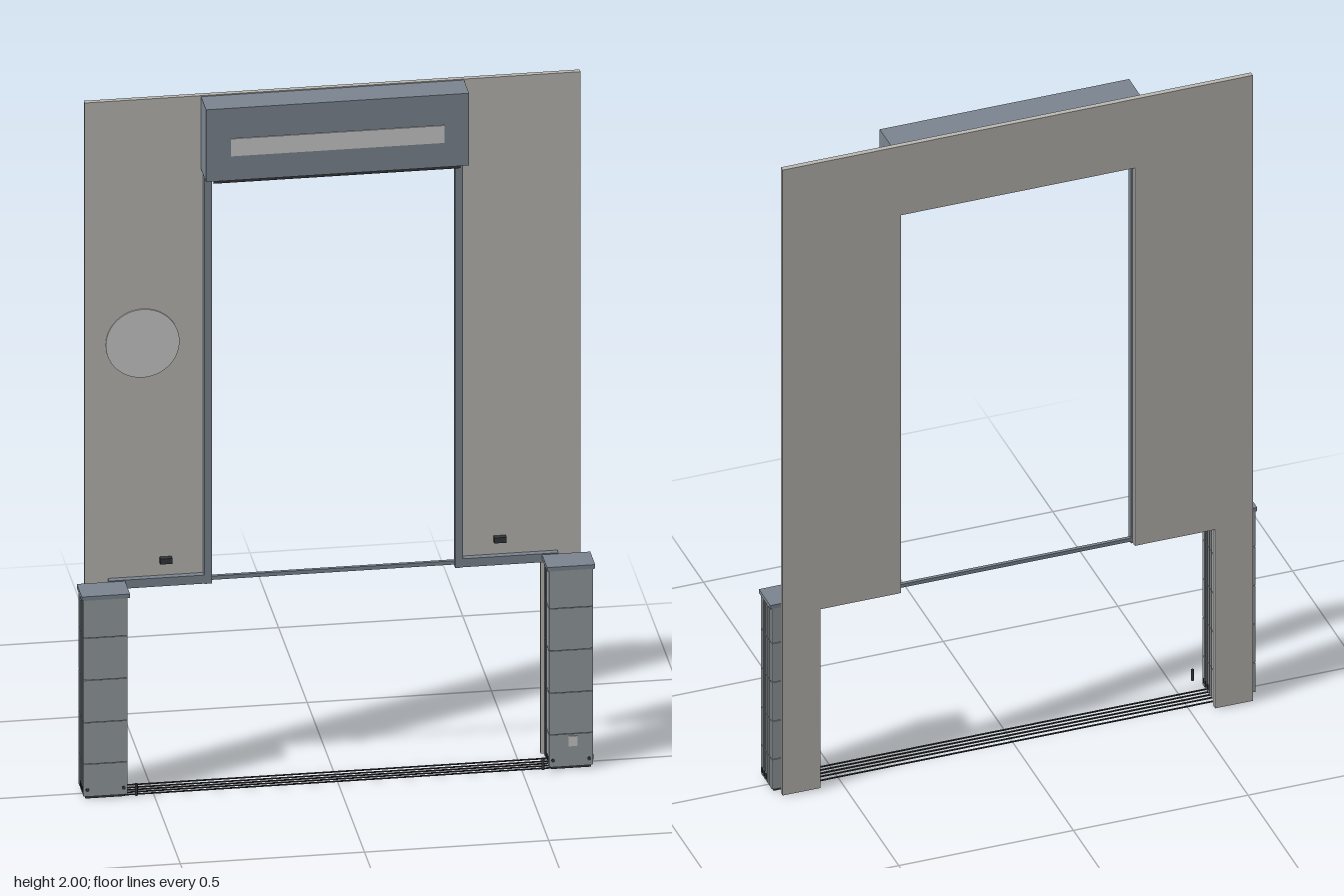
import * as THREE from 'three';

const mat = (color) => new THREE.MeshStandardMaterial({ color });

export function createModel() {
  const model = new THREE.Group();
  const steel = mat(0x7c8690), post = mat(0x949b9f), wall = mat(0xb9b8b3);
  const pale = mat(0xcccccc), dark = mat(0x33363a);

  const add = (name, geometry, material) => {
    const mesh = new THREE.Mesh(geometry, material);
    mesh.name = name;
    model.add(mesh);
    return mesh;
  };
  // Box given by its limits on each axis
  const box = (name, [x0, x1], [y0, y1], [z0, z1], material) =>
    add(name, new THREE.BoxGeometry(Math.abs(x1 - x0), y1 - y0, z1 - z0), material)
      .position.set((x0 + x1) / 2, (y0 + y1) / 2, (z0 + z1) / 2);
  const disc = (name, r, depth, [x, y, z], material, segments = 16) =>
    add(name, new THREE.CylinderGeometry(r, r, depth, segments).rotateX(Math.PI / 2), material)
      .position.set(x, y, z);

  // Wall panel: door opening above, wider opening between the legs
  const outline = [[-0.673, 0.005], [-0.565, 0.005], [-0.565, 0.575], [-0.335, 0.575], [-0.335, 1.78]];
  const points = [...outline, ...outline.map(([x, y]) => [-x, y]).reverse(), [0.673, 2], [-0.673, 2]];
  const panelShape = new THREE.Shape(points.map(([x, y]) => new THREE.Vector2(x, y)));
  const panel = add('wallPanel', new THREE.ExtrudeGeometry(panelShape, { depth: 0.015, bevelEnabled: false }), wall);
  panel.position.z = -0.073;

  // Header box with light strip and underside ribs
  box('header', [-0.357, 0.357], [1.785, 1.997], [-0.058, 0.03], steel);
  box('headerStrip', [-0.29, 0.29], [1.857, 1.908], [0.03, 0.033], pale);
  for (let i = 0; i < 5; i++) {
    const z = -0.035 + i * 0.0135;
    box('headerRib', [-0.335, 0.335], [1.775, 1.785], [z - 0.003, z + 0.003], dark);
  }

  // Round plate on the right wall
  disc('roundPlate', 0.1, 0.004, [-0.516, 1.285, -0.056], pale, 48);

  // Sill rod between the door jambs
  box('sillRod', [-0.335, 0.335], [0.581, 0.592], [-0.058, -0.048], steel);

  // Thin strips along the floor
  for (const z of [-0.033, -0.015, 0, 0.015, 0.03]) {
    box('floorStrip', [-0.58, 0.58], [0, 0.003], [z - 0.002, z + 0.002], dark);
  }

  // Post cross-section with grooves down both sides
  const half = 0.06, groove = 0.007;
  const side = [[half, -0.041]];
  for (const z of [-0.027, -0.011, 0.005, 0.021]) {
    side.push([half, z], [half - groove, z], [half - groove, z + 0.006], [half, z + 0.006]);
  }
  side.push([half, 0.043]);
  const section = [...side, ...side.map(([x, z]) => [-x, z]).reverse()];
  const postShape = new THREE.Shape(section.map(([x, z]) => new THREE.Vector2(x, z)));
  const seams = [0.01, 0.105, 0.227, 0.351, 0.475, 0.587];

  for (const s of [-1, 1]) {
    const bx = (name, [a, b], y, z, material) => box(name, [s * a, s * b], y, z, material);

    // Door jamb and ledge
    bx('doorJamb', [0.33, 0.351], [0.575, 1.785], [-0.058, -0.038], steel);
    bx('ledge', [0.33, 0.61], [0.575, 0.6], [-0.058, -0.04], steel);

    // Post built of stacked sections with narrow seams
    for (let i = 0; i < 5; i++) {
      const height = seams[i + 1] - seams[i] - 0.002;
      const geometry = new THREE.ExtrudeGeometry(postShape, { depth: height, bevelEnabled: false });
      geometry.rotateX(Math.PI / 2);
      add('postSection', geometry, post).position.set(s * 0.632, seams[i] + height, 0);
    }
    bx('postCore', [0.582, 0.682], [0.01, 0.587], [-0.038, 0.04], dark);
    bx('postCap', [0.566, 0.697], [0.585, 0.597], [-0.041, 0.046], steel);
    bx('postFoot', [0.578, 0.686], [0.002, 0.011], [-0.038, 0.04], dark);
    bx('postSpacer', [0.583, 0.603], [0.01, 0.575], [-0.058, -0.04], steel);
    for (const x of [0.583, 0.681]) disc('postBolt', 0.005, 0.003, [s * x, 0.028, 0.0435], dark);
    for (const x of [0.5715, 0.6925]) {
      for (const z of [0, 0.016, 0.032]) {
        bx('sideBolt', [x - 0.001, x + 0.001], [0.02, 0.036], [z - 0.003, z + 0.003], dark);
      }
    }
    disc('wallBolt', 0.006, 0.016, [s * 0.62, 0.265, -0.05], dark);

    // Small latch above the ledge
    bx('latch', [0.437, 0.47], [0.638, 0.654], [-0.058, -0.042], dark);

    // Free-standing pin in front of the post
    add('pin', new THREE.CylinderGeometry(0.004, 0.004, 0.034, 10), dark)
      .position.set(s * 0.552, 0.031, 0.066);
  }

  // Pale plate on the left post
  box('postPlate', [0.625, 0.649], [0.068, 0.098], [0.043, 0.046], pale);

  return model;
}
